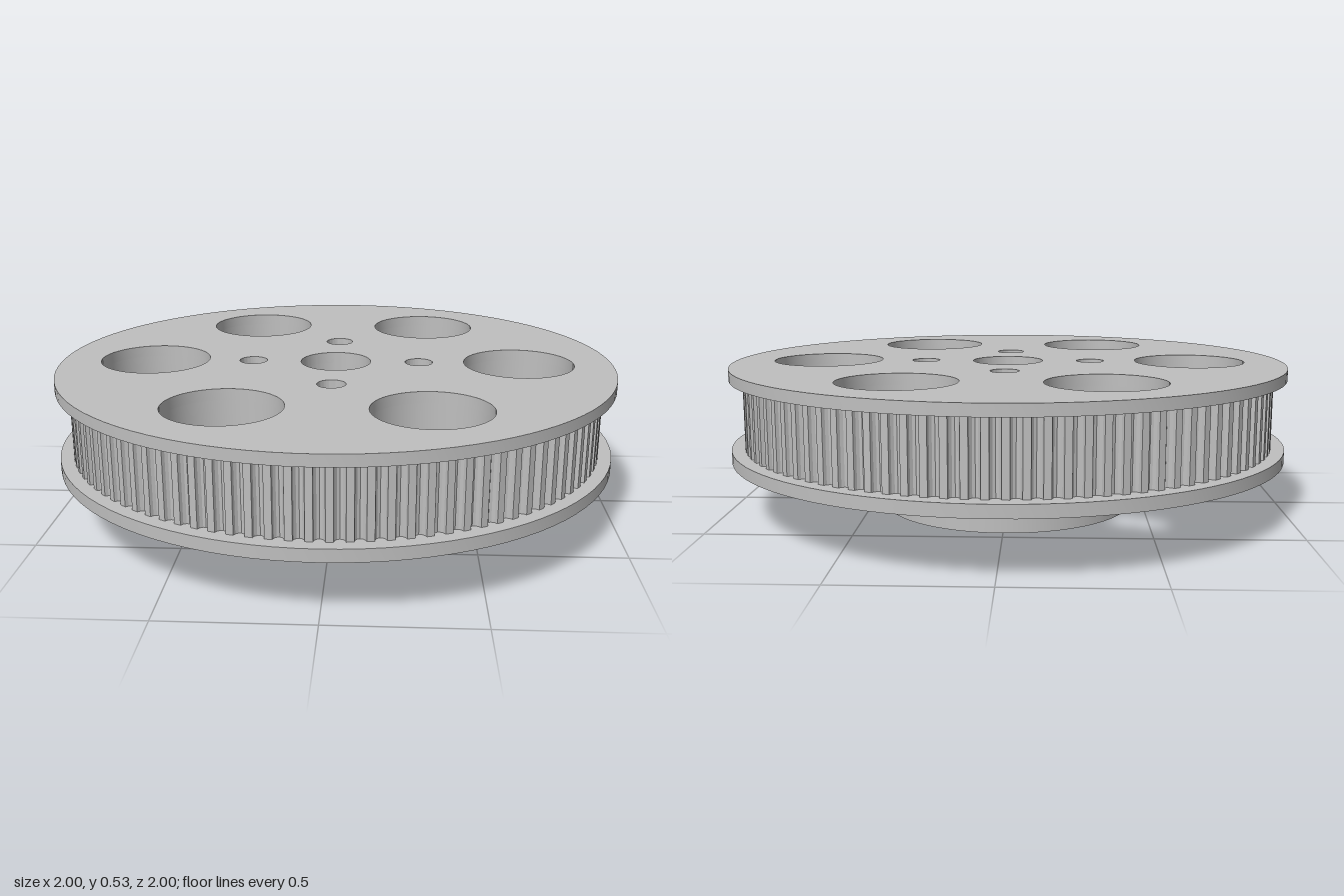
import * as THREE from 'three';
import { toCreasedNormals } from 'three/addons/utils/BufferGeometryUtils.js';

const TEETH = 100;

// Circular hole path
function hole(x, y, r) {
  const p = new THREE.Path();
  p.absarc(x, y, r, 0, Math.PI * 2, true);
  return p;
}

// Centre bore and four bolt holes
function boltHoles() {
  const list = [hole(0, 0, 0.127)];
  for (let i = 0; i < 4; i++) {
    const a = (i * Math.PI) / 2;
    list.push(hole(0.302 * Math.cos(a), 0.302 * Math.sin(a), 0.05));
  }
  return list;
}

// Six large lightening holes
function lighteningHoles() {
  const list = [];
  for (let i = 0; i < 6; i++) {
    const a = (i * Math.PI) / 3;
    list.push(hole(0.663 * Math.cos(a), 0.663 * Math.sin(a), 0.198));
  }
  return list;
}

function disc(r) {
  const s = new THREE.Shape();
  s.absarc(0, 0, r, 0, Math.PI * 2, false);
  return s;
}

// Belt wheel outline: plain lands between rounded grooves
function toothedOutline(radius, depth) {
  const pitch = (Math.PI * 2) / TEETH;
  const points = [];
  for (let i = 0; i < TEETH; i++) {
    for (let k = 0; k <= 6; k++) {
      const u = (k / 6) * Math.PI;
      const a = i * pitch - 0.3 * pitch * Math.cos(u);
      const r = radius - depth * Math.sin(u);
      points.push(new THREE.Vector2(r * Math.cos(a), r * Math.sin(a)));
    }
  }
  return new THREE.Shape(points);
}

export function createModel() {
  const group = new THREE.Group();
  const metal = new THREE.MeshStandardMaterial({ color: 0xbfbfbf });
  metal.name = 'grey metal';

  // Extrude a drilled outline upwards between two heights
  function addLayer(name, shape, holes, y0, y1) {
    shape.holes.push(...holes);
    const flat = new THREE.ExtrudeGeometry(shape, { depth: y1 - y0, bevelEnabled: false, curveSegments: 48 });
    flat.rotateX(-Math.PI / 2);
    flat.translate(0, y0, 0);
    const mesh = new THREE.Mesh(toCreasedNormals(flat, 0.45), metal);
    mesh.name = name;
    group.add(mesh);
  }

  const allHoles = () => [...boltHoles(), ...lighteningHoles()];
  addLayer('hub', disc(0.452), boltHoles(), 0, 0.2);
  addLayer('lowerFlange', disc(1), allHoles(), 0.2, 0.243);
  addLayer('toothedWheel', toothedOutline(0.953, 0.022), allHoles(), 0.243, 0.49);
  addLayer('upperFlange', disc(1), allHoles(), 0.49, 0.53);
  return group;
}
